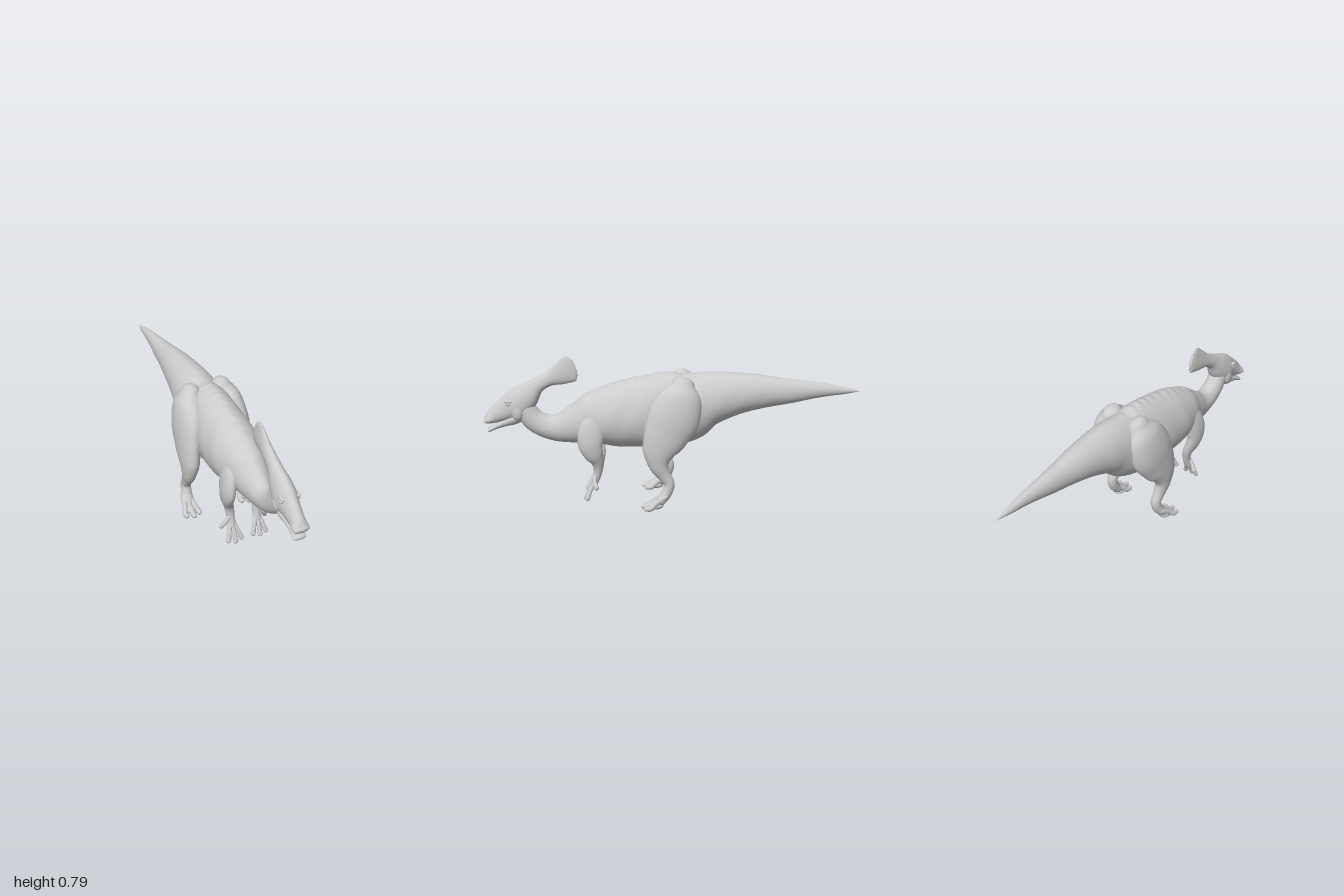
import * as THREE from 'three';

const material = new THREE.MeshStandardMaterial({ color: 0xcccccc, roughness: 0.8 });
const V = (x, y, z) => new THREE.Vector3(x, y, z);
const X = V(1, 0, 0);

// Smooth closed skin through stations [x, y, z, half width, half depth].
// Rings lie across the path; shape(angle, centre) may return [width, depth] factors.
function loft(name, stations, { steps = 6, sides = 24, cap = 1, shape = () => [1, 1] } = {}) {
  const path = new THREE.CatmullRomCurve3(stations.map(s => V(s[0], s[1], s[2])));
  const radii = new THREE.CatmullRomCurve3(stations.map(s => V(s[3], s[4], 0)), false, 'catmullrom', 0.4);
  const n = (stations.length - 1) * steps, capRings = 5;
  const pos = [], index = [];
  let rings = 0;
  const addRing = (t, scale, shift) => {
    const c = path.getPoint(t), tangent = path.getTangent(t), r = radii.getPoint(t);
    const up = V(0, 0, 0).crossVectors(tangent, X).normalize();
    const side = V(0, 0, 0).crossVectors(up, tangent).normalize();
    c.addScaledVector(tangent, shift * Math.min(r.x, r.y) * cap);
    for (let j = 0; j < sides; j++) {
      const a = j / sides * Math.PI * 2, f = shape(a, c);
      const p = c.clone()
        .addScaledVector(side, Math.cos(a) * r.x * f[0] * scale)
        .addScaledVector(up, Math.sin(a) * r.y * f[1] * scale);
      pos.push(p.x, p.y, p.z);
    }
    rings++;
  };
  const q = k => k / capRings * Math.PI / 2;
  for (let k = capRings; k > 0; k--) addRing(0, Math.cos(q(k)), -Math.sin(q(k)));
  for (let i = 0; i <= n; i++) addRing(i / n, 1, 0);
  for (let k = 1; k <= capRings; k++) addRing(1, Math.cos(q(k)), Math.sin(q(k)));
  for (let i = 0; i < rings - 1; i++) {
    for (let j = 0; j < sides; j++) {
      const a = i * sides + j, b = i * sides + (j + 1) % sides;
      index.push(a, b, a + sides, b, b + sides, a + sides);
    }
  }
  const g = new THREE.BufferGeometry();
  g.setAttribute('position', new THREE.Float32BufferAttribute(pos, 3));
  g.setIndex(index);
  g.computeVertexNormals();
  const mesh = new THREE.Mesh(g, material);
  mesh.name = name;
  return mesh;
}

function ball(name, x, y, z, sx, sy, sz) {
  const mesh = new THREE.Mesh(new THREE.SphereGeometry(1, 16, 12), material);
  mesh.position.set(x, y, z);
  mesh.scale.set(sx, sy, sz);
  mesh.name = name;
  return mesh;
}

// Egg-shaped trunk, with knobs along the spine and faint skin folds on the flanks
function trunkShape(a, c) {
  const s = Math.sin(a), torso = Math.exp(-Math.pow((c.z - 0.1) / 0.5, 2));
  const spine = Math.pow(Math.max(0, s), 30) * torso * (0.02 + 0.015 * Math.sin(c.z * 110));
  const fold = 0.012 * torso * Math.sin(c.z * 42 + s * 4) * Math.abs(Math.cos(a));
  return [1 - 0.1 * s * torso + fold, 1 + spine];
}

function hindLeg(s) {
  const leg = new THREE.Group();
  leg.name = s > 0 ? 'leftHindLeg' : 'rightHindLeg';
  leg.add(loft('thighAndShin', [
    [s * 0.085, 0.665, -0.06, 0.05, 0.06],
    [s * 0.108, 0.60, -0.045, 0.072, 0.115],
    [s * 0.130, 0.50, -0.01, 0.072, 0.138],
    [s * 0.147, 0.40, 0.035, 0.058, 0.118],
    [s * 0.155, 0.32, 0.067, 0.048, 0.088],
    [s * 0.158, 0.25, 0.068, 0.037, 0.055],
    [s * 0.155, 0.19, 0.040, 0.030, 0.036],
    [s * 0.154, 0.14, 0.014, 0.028, 0.029],
    [s * 0.157, 0.09, 0.028, 0.030, 0.028],
    [s * 0.163, 0.05, 0.058, 0.036, 0.026]], { cap: 0.8 }));
  for (const [x, z] of [[0.128, 0.135], [0.165, 0.15], [0.203, 0.135]]) {
    const base = 0.163 + (x - 0.163) * 0.45;
    leg.add(loft('hindToe', [
      [s * base, 0.075, 0.035, 0.014, 0.014],
      [s * (base + x) / 2, 0.042, 0.085, 0.014, 0.016],
      [s * x, 0.019, z - 0.022, 0.015, 0.015],
      [s * x, 0.017, z, 0.014, 0.013]], { sides: 14 }));
  }
  // Sole pad
  leg.add(ball('solePad', s * 0.163, 0.024, 0.085, 0.036, 0.021, 0.042));
  return leg;
}

function foreLeg(s) {
  const leg = new THREE.Group();
  leg.name = s > 0 ? 'leftForeLeg' : 'rightForeLeg';
  leg.add(loft('upperArmAndForearm', [
    [s * 0.085, 0.49, 0.40, 0.028, 0.05],
    [s * 0.100, 0.42, 0.42, 0.034, 0.07],
    [s * 0.108, 0.35, 0.43, 0.034, 0.066],
    [s * 0.103, 0.29, 0.413, 0.032, 0.052],
    [s * 0.088, 0.245, 0.395, 0.027, 0.036],
    [s * 0.077, 0.20, 0.392, 0.024, 0.026],
    [s * 0.074, 0.15, 0.402, 0.021, 0.020],
    [s * 0.073, 0.11, 0.417, 0.024, 0.016]]));
  // Three long fingers and a short outer one: tip x, y, z
  for (const [x, y, z] of [[0.034, 0.04, 0.45], [0.071, 0.033, 0.46], [0.108, 0.04, 0.45], [0.127, 0.107, 0.40]]) {
    const base = 0.073 + (x - 0.073) * 0.3, top = y > 0.1 ? 0.16 : 0.125;
    leg.add(loft('finger', [
      [s * base, top, 0.41, 0.011, 0.011],
      [s * (base + x) / 2, (top + y) / 2, (0.42 + z) / 2, 0.011, 0.011],
      [s * x, y, z, 0.013, 0.012]], { sides: 12 }));
  }
  return leg;
}

export function createModel() {
  const model = new THREE.Group();
  model.name = 'crestedDinosaur';

  // Tail, trunk and neck in one skin
  model.add(loft('body', [
    [0, 0.605, -0.998, 0.002, 0.002],
    [0, 0.609, -0.90, 0.018, 0.022],
    [0, 0.612, -0.80, 0.030, 0.038],
    [0, 0.605, -0.60, 0.056, 0.070],
    [0, 0.600, -0.40, 0.088, 0.103],
    [0, 0.568, -0.20, 0.118, 0.145],
    [0, 0.523, -0.08, 0.130, 0.187],
    [0, 0.506, 0.02, 0.136, 0.202],
    [0, 0.498, 0.10, 0.138, 0.198],
    [0, 0.490, 0.20, 0.140, 0.185],
    [0, 0.477, 0.30, 0.138, 0.172],
    [0, 0.462, 0.40, 0.122, 0.145],
    [0, 0.430, 0.50, 0.090, 0.110],
    [0, 0.407, 0.60, 0.064, 0.077],
    [0, 0.416, 0.67, 0.056, 0.064],
    [0, 0.452, 0.735, 0.053, 0.060],
    [0, 0.510, 0.775, 0.050, 0.054],
    [0, 0.560, 0.795, 0.040, 0.040]], { steps: 10, sides: 64, shape: trunkShape }));

  // Skull, from the blade of the crest down to the flared bill
  const head = new THREE.Group();
  head.name = 'head';
  head.add(loft('skullAndCrest', [
    [0, 0.738, 0.512, 0.009, 0.048],
    [0, 0.730, 0.533, 0.015, 0.073],
    [0, 0.704, 0.585, 0.022, 0.061],
    [0, 0.675, 0.650, 0.028, 0.040],
    [0, 0.640, 0.710, 0.034, 0.042],
    [0, 0.580, 0.775, 0.050, 0.074],
    [0, 0.535, 0.830, 0.056, 0.079],
    [0, 0.505, 0.890, 0.044, 0.062],
    [0, 0.476, 0.945, 0.039, 0.043],
    [0, 0.458, 0.975, 0.045, 0.027],
    [0, 0.452, 0.988, 0.040, 0.018]], {
    steps: 8, sides: 32, cap: 0.6, shape: a => [1 - 0.15 * Math.sin(a), 1],
  }));
  head.add(loft('lowerJaw', [
    [0, 0.490, 0.790, 0.046, 0.040],
    [0, 0.460, 0.840, 0.046, 0.034],
    [0, 0.438, 0.890, 0.036, 0.023],
    [0, 0.416, 0.940, 0.033, 0.016],
    [0, 0.398, 0.972, 0.035, 0.012]], { cap: 0.9 }));
  for (const s of [1, -1]) {
    head.add(ball('brow', s * 0.043, 0.562, 0.86, 0.011, 0.011, 0.026));
    head.add(ball('eye', s * 0.046, 0.547, 0.864, 0.009, 0.010, 0.013));
    head.add(ball('cheek', s * 0.047, 0.50, 0.815, 0.015, 0.04, 0.028));
    model.add(hindLeg(s), foreLeg(s));
  }
  model.add(head);
  return model;
}
